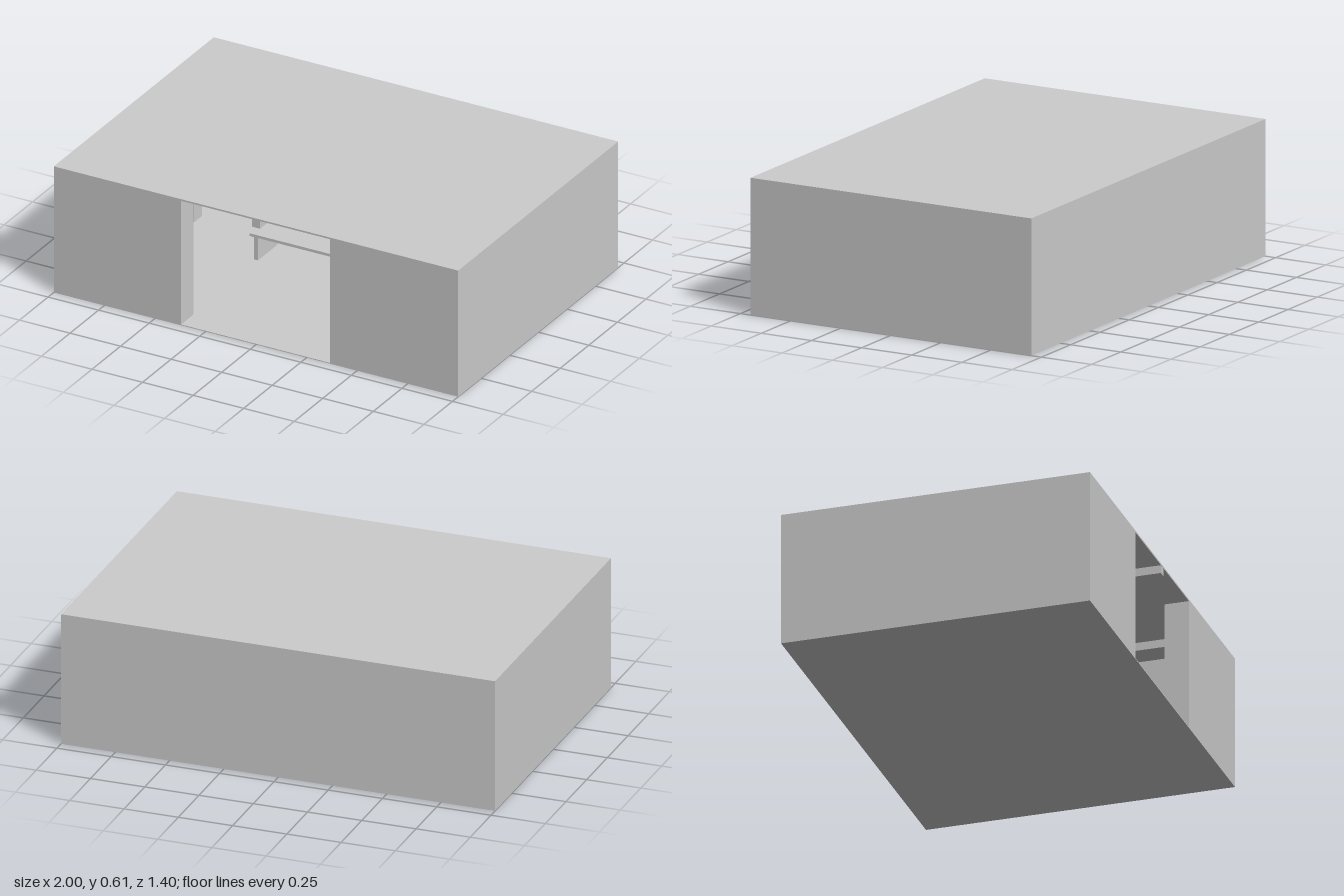
import * as THREE from 'three';

export function createModel() {
  const model = new THREE.Group();
  const material = new THREE.MeshStandardMaterial({ color: 0xcccccc, side: THREE.DoubleSide });

  // Box given by its extents along each axis
  function block(name, [x0, x1], [y0, y1], [z0, z1]) {
    const mesh = new THREE.Mesh(new THREE.BoxGeometry(x1 - x0, y1 - y0, z1 - z0), material);
    mesh.position.set((x0 + x1) / 2, (y0 + y1) / 2, (z0 + z1) / 2);
    mesh.name = name;
    model.add(mesh);
  }

  const H = 0.61, D = 0.7, wall = 0.11, roof = 0.008;
  const rise = [0.004, H - roof];

  // Shell, open in the middle of the front
  block('floor', [-1, 1], [0, 0.004], [-D, D]);
  block('roof', [-1, 1], [H - roof, H], [-D, D]);
  block('backWall', [-1, 1], rise, [-D, -D + wall]);
  block('rightWall', [-1, -1 + wall], rise, [-D + wall, D - wall]);
  block('leftWall', [1 - wall, 1], rise, [-D + wall, D - wall]);
  block('frontWallRight', [-1, -0.37], rise, [D - wall, D]);
  block('frontWallLeft', [0.365, 1], rise, [D - wall, D]);

  // Ceiling beams running front to back
  for (const x of [-0.72, 0, 0.72])
    block('ceilingBeam', [x - 0.02, x + 0.02], [0.565, H - roof], [-D + 0.001, D - 0.001]);

  // Wall units hung high inside
  for (const x of [-0.33, 0.125])
    block('backWallUnit', [x, x + 0.29], [0.45, 0.56], [-D + wall, -D + wall + 0.07]);
  block('frontWallUnit', [-0.655, -0.368], [0.45, 0.56], [D - wall - 0.07, D - wall]);

  // Long low table on two panel legs
  block('tableTop', [-0.4, 0.4], [0.135, 0.148], [-0.2, 0.05]);
  for (const s of [-1, 1])
    block('tableLeg', [s * 0.39 - 0.01, s * 0.39 + 0.01], [0.004, 0.135], [-0.16, 0.01]);

  return model;
}
